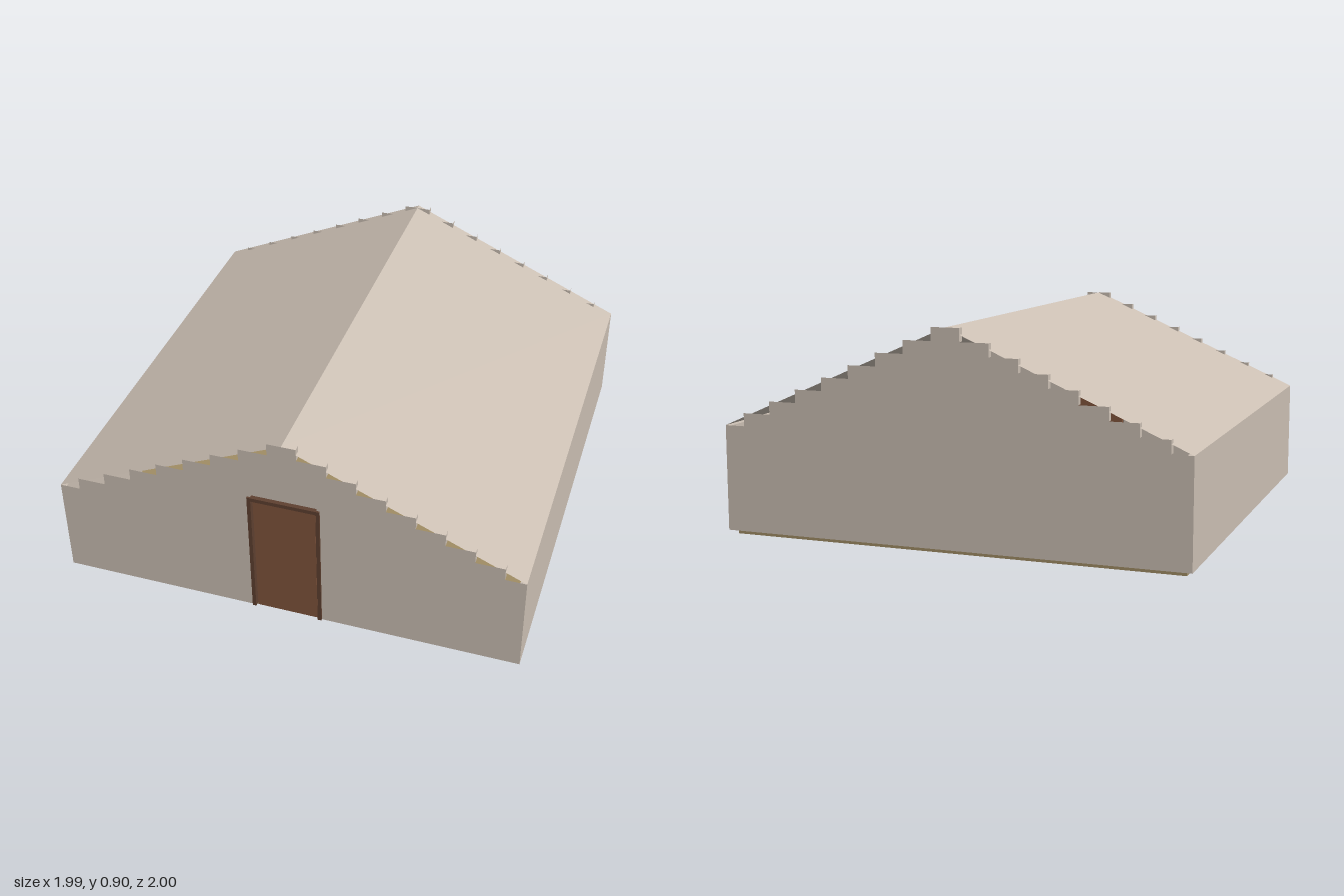
import * as THREE from 'three';

const HALF = 0.995, BACK = -1, FRONT = 0.992, THICK = 0.027;
const BASE = 0.02, EAVES = 0.465, RIDGE = 0.905;
const DEPTH = FRONT - BACK, MID = (FRONT + BACK) / 2;

const mat = (color, side = THREE.FrontSide) =>
  new THREE.MeshStandardMaterial({ color, side, flatShading: true });
const plaster = mat(0xcbbfb3);
const roofing = mat(0xcbbfb3, THREE.DoubleSide);
const flooring = mat(0xa08c64);
const doorWood = mat(0x80543c);
const frameWood = mat(0x5e4030);

function add(parent, name, geometry, material, x = 0, y = 0, z = 0) {
  const mesh = new THREE.Mesh(geometry, material);
  mesh.name = name;
  mesh.position.set(x, y, z);
  parent.add(mesh);
  return mesh;
}

function box(parent, name, material, x0, x1, y0, y1, z0, z1) {
  return add(parent, name, new THREE.BoxGeometry(x1 - x0, y1 - y0, z1 - z0), material,
    (x0 + x1) / 2, (y0 + y1) / 2, (z0 + z1) / 2);
}

// Stepped gable outline, with an optional doorway cut up from the bottom edge
function gableShape(doorway) {
  const right = [];
  const steps = 8, rise = (RIDGE - EAVES) / steps;
  for (let i = 0; i < steps; i++) {
    const x = 0.0605 + i * 0.121;
    right.push([x, RIDGE - i * rise], [x, RIDGE - (i + 1) * rise]);
  }
  right.push([HALF, EAVES], [HALF, BASE]);
  if (doorway) right.push([0.14, BASE], [0.14, 0.627]);
  const left = right.map(([x, y]) => [-x, y]).reverse();
  return new THREE.Shape([...right, ...left].map(([x, y]) => new THREE.Vector2(x, y)));
}

// The gable steps are open on top: leave out every upward-facing triangle
function openTop(geometry) {
  const g = geometry.index ? geometry.toNonIndexed() : geometry;
  const p = g.attributes.position.array, n = g.attributes.normal.array;
  const kept = [];
  for (let i = 0; i < p.length; i += 9) {
    if (n[i + 1] < 0.9) kept.push(...p.slice(i, i + 9));
  }
  const out = new THREE.BufferGeometry();
  out.setAttribute('position', new THREE.Float32BufferAttribute(kept, 3));
  out.computeVertexNormals();
  return out;
}

function gable(parent, name, doorway, z) {
  const geometry = new THREE.ExtrudeGeometry(gableShape(doorway), { depth: THICK, bevelEnabled: false });
  add(parent, name, openTop(geometry), plaster, 0, 0, z);
}

export function createModel() {
  const model = new THREE.Group();
  model.name = 'house';

  // Floor slab, slightly inset from the walls
  box(model, 'floor', flooring, -0.967, 0.967, 0, BASE + 0.002, BACK + 0.03, FRONT - 0.025);

  // Walls
  gable(model, 'frontGable', true, FRONT - THICK);
  gable(model, 'backGable', false, BACK);
  for (const s of [-1, 1]) {
    const inner = s * (HALF - THICK), outer = s * HALF;
    box(model, s > 0 ? 'leftWall' : 'rightWall', plaster,
      Math.min(inner, outer), Math.max(inner, outer), BASE, EAVES, BACK, FRONT);
  }

  // Two thin roof slopes meeting at the ridge
  const run = Math.hypot(HALF, RIDGE - EAVES), pitch = Math.atan2(RIDGE - EAVES, HALF);
  for (const s of [-1, 1]) {
    const slope = new THREE.PlaneGeometry(run, DEPTH).rotateX(-Math.PI / 2).rotateZ(-s * pitch);
    add(model, s > 0 ? 'leftRoof' : 'rightRoof', slope, roofing, s * HALF / 2, (RIDGE + EAVES) / 2, MID);
  }

  // Door set back inside its frame
  const door = new THREE.Group();
  door.name = 'door';
  model.add(door);
  box(door, 'doorPanel', doorWood, -0.132, 0.132, BASE, 0.6, 0.972, 0.988);
  box(door, 'frameTop', frameWood, -0.153, 0.153, 0.6, 0.617, 0.967, 1);
  for (const s of [-1, 1]) {
    box(door, 'framePost', frameWood, s * 0.145 - 0.008, s * 0.145 + 0.008, BASE, 0.6, 0.967, 1);
  }
  return model;
}
